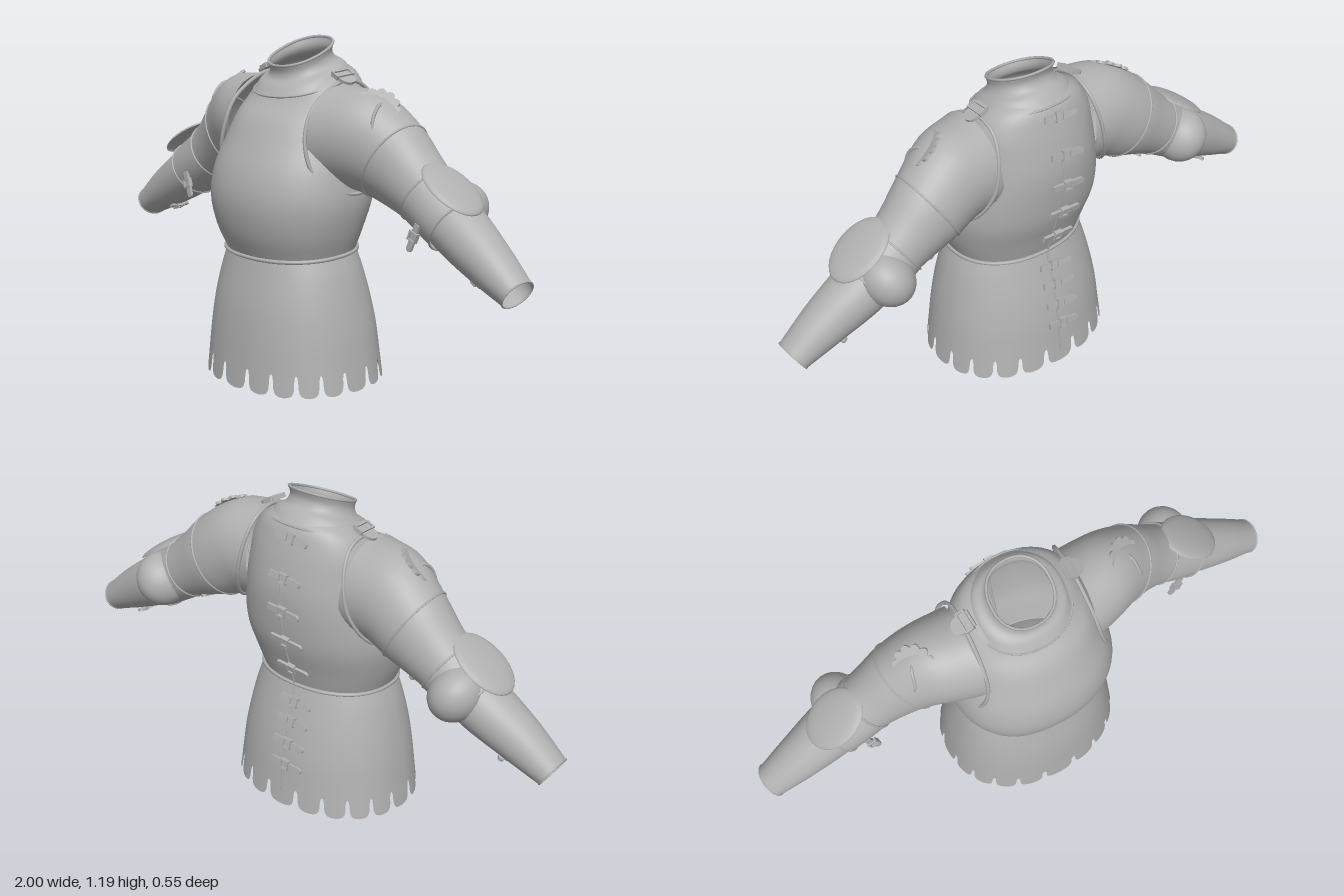
import * as THREE from 'three';

const V = (x, y, z) => new THREE.Vector3(x, y, z);
const steel = new THREE.MeshStandardMaterial({ color: 0xb0b0b0, side: THREE.DoubleSide });
steel.name = 'steel';

function add(parent, geo, name) {
  const m = new THREE.Mesh(geo, steel);
  m.name = name;
  parent.add(m);
  return m;
}

// Smooth skin through closed rings of points
function loft(rings, steps = 4) {
  const n = rings[0].length, rows = (rings.length - 1) * steps;
  const pos = new Float32Array((rows + 1) * n * 3), index = [];
  for (let c = 0; c < n; c++) {
    const curve = new THREE.CatmullRomCurve3(rings.map(r => r[c]));
    for (let r = 0; r <= rows; r++) curve.getPoint(r / rows).toArray(pos, (r * n + c) * 3);
  }
  for (let r = 0; r < rows; r++) for (let c = 0; c < n; c++) {
    const a = r * n + c, b = r * n + (c + 1) % n;
    index.push(a, b, a + n, b, b + n, a + n);
  }
  const g = new THREE.BufferGeometry();
  g.setAttribute('position', new THREE.BufferAttribute(pos, 3));
  g.setIndex(index);
  g.computeVertexNormals();
  return g;
}

const angles = n => Array.from({ length: n }, (_, i) => i / n * Math.PI * 2);
const power = v => Math.sign(v) * Math.abs(v) ** 0.9;

// Body section: height, half width, front z, back z, tilt
function bodyPoint([y, hx, zf, zb, k], a) {
  const dz = (zf - zb) / 2 * power(Math.cos(a));
  return V(hx * power(Math.sin(a)), y - k * dz, (zf + zb) / 2 + dz);
}
const bodyRing = (level, as = angles(72)) => as.map(a => bodyPoint(level, a));
const tube = (pts, r, closed) =>
  new THREE.TubeGeometry(new THREE.CatmullRomCurve3(pts, closed), closed ? 72 : 40, r, 6, closed);

// Arm sections: centre x, y, z, radius across, radius in z
function armRings(sections, n = 40) {
  return sections.map(([x, y, z, rn, rz], i) => {
    const p = sections[Math.max(i - 1, 0)], q = sections[Math.min(i + 1, sections.length - 1)];
    const d = V(q[0] - p[0], q[1] - p[1], 0).normalize();
    return angles(n).map(a => V(x - d.y * rn * Math.cos(a), y + d.x * rn * Math.cos(a), z + rz * Math.sin(a)));
  });
}

// Place an object with local x along a direction and local z along a normal
function orient(obj, at, along, normal) {
  const z = normal.clone().normalize();
  const y = z.clone().cross(along).normalize();
  obj.quaternion.setFromRotationMatrix(new THREE.Matrix4().makeBasis(y.clone().cross(z), y, z));
  obj.position.copy(at);
  return obj;
}

function strap(parent, name, at, along, normal, len = 0.12, w = 0.022) {
  const g = new THREE.Group();
  g.name = name;
  add(g, new THREE.BoxGeometry(len, w, 0.01), 'strapTongue');
  const tip = add(g, new THREE.CylinderGeometry(w / 2, w / 2, 0.01, 14), 'strapTip');
  tip.rotation.x = Math.PI / 2;
  tip.position.x = len / 2;
  for (const s of [-1, 1]) {
    add(g, new THREE.BoxGeometry(0.03, 0.006, 0.016), 'buckleSide').position.set(0, s * (w / 2 + 0.004), 0.002);
    add(g, new THREE.BoxGeometry(0.006, w + 0.014, 0.016), 'buckleBar').position.set(s * 0.014, 0, 0.003);
  }
  parent.add(orient(g, at, along, normal));
}

function rosetteGeometry() {
  const s = new THREE.Shape();
  for (let i = 0; i <= 144; i++) {
    const a = i / 144 * Math.PI * 2, r = 0.064 + 0.012 * Math.abs(Math.sin(a * 6));
    s[i ? 'lineTo' : 'moveTo'](r * Math.cos(a), r * Math.sin(a));
  }
  return new THREE.ExtrudeGeometry(s, { depth: 0.01, bevelEnabled: false });
}

// Left arm, mirrored for the right
function buildArm(name) {
  const arm = new THREE.Group();
  arm.name = name;
  const upper = [[0.2, 0.875, -0.03, 0.175, 0.165], [0.32, 0.865, -0.05, 0.172, 0.15],
    [0.42, 0.81, -0.075, 0.15, 0.13], [0.52, 0.745, -0.085, 0.12, 0.11], [0.63, 0.675, -0.09, 0.096, 0.098]];
  const lower = [[0.62, 0.68, -0.09, 0.09, 0.095], [0.7, 0.63, -0.09, 0.096, 0.1],
    [0.85, 0.54, -0.08, 0.08, 0.082], [0.97, 0.465, -0.075, 0.055, 0.063]];
  const u = armRings(upper), l = armRings(lower);
  add(arm, loft(u, 6), 'upperArmPlate');
  add(arm, loft(l, 6), 'forearmPlate');
  add(arm, tube(u[2], 0.004, true), 'shoulderPlateEdge');
  add(arm, tube(l[3], 0.003, true), 'cuffEdge');

  // Elbow guard: sleeve, pointed cup and outer wing
  const sleeve = armRings([[0.565, 0.717, -0.088, 0.11, 0.107], [0.62, 0.68, -0.09, 0.106, 0.11],
    [0.69, 0.635, -0.09, 0.104, 0.107]]);
  add(arm, loft(sleeve, 4), 'elbowSleeve');
  add(arm, tube(sleeve[0], 0.004, true), 'elbowUpperEdge');
  add(arm, tube(sleeve[2], 0.004, true), 'elbowLowerEdge');
  const cup = add(arm, new THREE.SphereGeometry(1, 28, 18), 'elbowCup');
  cup.scale.set(0.088, 0.1, 0.105);
  cup.position.set(0.645, 0.67, -0.15);
  cup.rotation.z = -0.57;
  const cap = new THREE.SphereGeometry(1, 32, 8, 0, Math.PI * 2, 0, Math.PI / 2);
  cap.scale(0.125, 0.022, 0.095);
  const wing = add(arm, cap, 'elbowWing');
  wing.position.set(0.69, 0.757, -0.07);
  wing.rotation.z = -0.6;

  // Shoulder rosette with its lace
  const n = V(0.55, 0.72, 0.42);
  orient(add(arm, rosetteGeometry(), 'shoulderRosette'), V(0.39, 0.99, -0.025), V(1, -0.75, 0), n);
  const lace = [V(0.39, 1.0, -0.05), V(0.41, 1.0, -0.01), V(0.42, 0.96, 0.025), V(0.43, 0.9, 0.035)];
  add(arm, tube(lace, 0.006, false), 'rosetteLace');
  add(arm, tube(lace.map(p => p.clone().add(V(-0.025, -0.01, 0.015))), 0.006, false), 'rosetteLace');

  // Armhole rim on the breastplate
  const rim = [[0.2, 1.06, -0.05], [0.205, 0.98, 0.095], [0.215, 0.88, 0.14], [0.245, 0.77, 0.13], [0.287, 0.7, 0.04],
    [0.295, 0.69, -0.04], [0.28, 0.72, -0.13], [0.24, 0.83, -0.195], [0.215, 0.95, -0.19], [0.2, 1.035, -0.14]];
  add(arm, tube(rim.map(p => V(...p)), 0.007, true), 'armholeRim');

  // Arm straps
  strap(arm, 'elbowStrap', V(0.605, 0.6, 0.015), V(-0.35, -0.9, 0.05), V(0, 0.05, 1), 0.09);
  strap(arm, 'upperArmStrap', V(0.46, 0.655, -0.1), V(0, 0, -1), V(-0.5, -0.85, 0), 0.07);
  strap(arm, 'forearmStrap', V(0.805, 0.473, -0.085), V(0, 0, -1), V(-0.5, -0.85, 0), 0.07);
  strap(arm, 'shoulderBuckle', V(0.19, 1.078, -0.05), V(0.9, -0.45, 0), V(0.45, 0.9, 0.1), 0.05, 0.06);
  return arm;
}

export function createModel() {
  const model = new THREE.Group();
  model.name = 'plateArmour';

  // Breastplate and backplate
  const waist = [0.467, 0.243, 0.213, -0.18, 0.06];
  add(model, loft([waist, [0.55, 0.275, 0.25, -0.205, 0.04], [0.65, 0.297, 0.27, -0.235, 0],
    [0.75, 0.29, 0.255, -0.25, 0], [0.85, 0.265, 0.21, -0.255, 0], [0.93, 0.245, 0.165, -0.245, 0],
    [1.0, 0.225, 0.11, -0.225, 0.1], [1.05, 0.19, 0.09, -0.2, 0.25], [1.075, 0.15, 0.08, -0.165, 0.3],
    [1.09, 0.115, 0.072, -0.138, 0.35]].map(l => bodyRing(l))), 'breastAndBackPlate');
  add(model, tube(bodyRing([0.467, 0.248, 0.218, -0.185, 0.06]), 0.007, true), 'waistRim');

  // Collar: flange, neck tube and rolled lip
  const flange = [1.045, 0.17, 0.122, -0.2, 0.27];
  add(model, loft([flange, [1.077, 0.15, 0.098, -0.168, 0.32], [1.095, 0.118, 0.077, -0.143, 0.36],
    [1.118, 0.106, 0.073, -0.131, 0.4], [1.145, 0.109, 0.081, -0.137, 0.41]].map(l => bodyRing(l))), 'collar');
  add(model, tube(bodyRing(flange), 0.004, true), 'collarEdge');
  add(model, tube(bodyRing([1.145, 0.107, 0.079, -0.135, 0.41]), 0.005, true), 'collarLip');

  // Skirt with a slotted, scalloped hem
  const half = [[0, 0.086], [0.05, 0.08], [0.075, 0.066], [0.09, 0.04], [0.13, 0.026], [0.2, 0.017], [0.33, 0.012]];
  const lobe = [...half, [0.5, 0.01], ...half.slice(1).reverse().map(([u, y]) => [1 - u, y])];
  const count = 20, cols = [];
  for (let i = 0; i < count; i++) for (const [u, y] of lobe) cols.push([(i + u - 0.5) / count * Math.PI * 2, y]);
  const as = cols.map(c => c[0]);
  const low = [0.1, 0.325, 0.268, -0.26, 0.03], hem = [0.01, 0.336, 0.275, -0.27, 0.04];
  const rings = [waist, [0.4, 0.268, 0.228, -0.2, 0.05], [0.3, 0.293, 0.248, -0.228, 0.03],
    [0.2, 0.312, 0.26, -0.248, 0.03], low].map(l => bodyRing(l, as));
  rings.push(cols.map(([a, y]) => bodyPoint(hem.map((h, i) =>
    THREE.MathUtils.lerp(h, low[i], (y - 0.01) / 0.09)), a)));
  add(model, loft(rings.reverse(), 4), 'skirt');

  // Back seam and closing straps
  const back = [[1.05, -0.212], [0.92, -0.252], [0.8, -0.261], [0.68, -0.246], [0.56, -0.214],
    [0.42, -0.203], [0.35, -0.222], [0.27, -0.242], [0.19, -0.257]];
  const seam = back.map(([y, z]) => V(0, y, z + 0.006));
  add(model, tube([...seam.slice(0, 5), V(0, 0.48, -0.185)], 0.004, false), 'backPlateSeam');
  add(model, tube([V(0, 0.47, -0.185), ...seam.slice(5), V(0, 0.06, -0.266)], 0.004, false), 'skirtSeam');
  back.forEach(([y, z], i) => {
    const slope = [0.35, 0.2, 0, -0.2, -0.3, 0.3, 0.28, 0.22, 0.15][i];
    strap(model, 'backStrap', V(-0.015, y, z - 0.003), V(-1, -0.1, 0), V(0, slope, -1));
  });

  // Arms
  const right = buildArm('rightArm');
  right.scale.x = -1;
  model.add(buildArm('leftArm'), right);
  return model;
}
